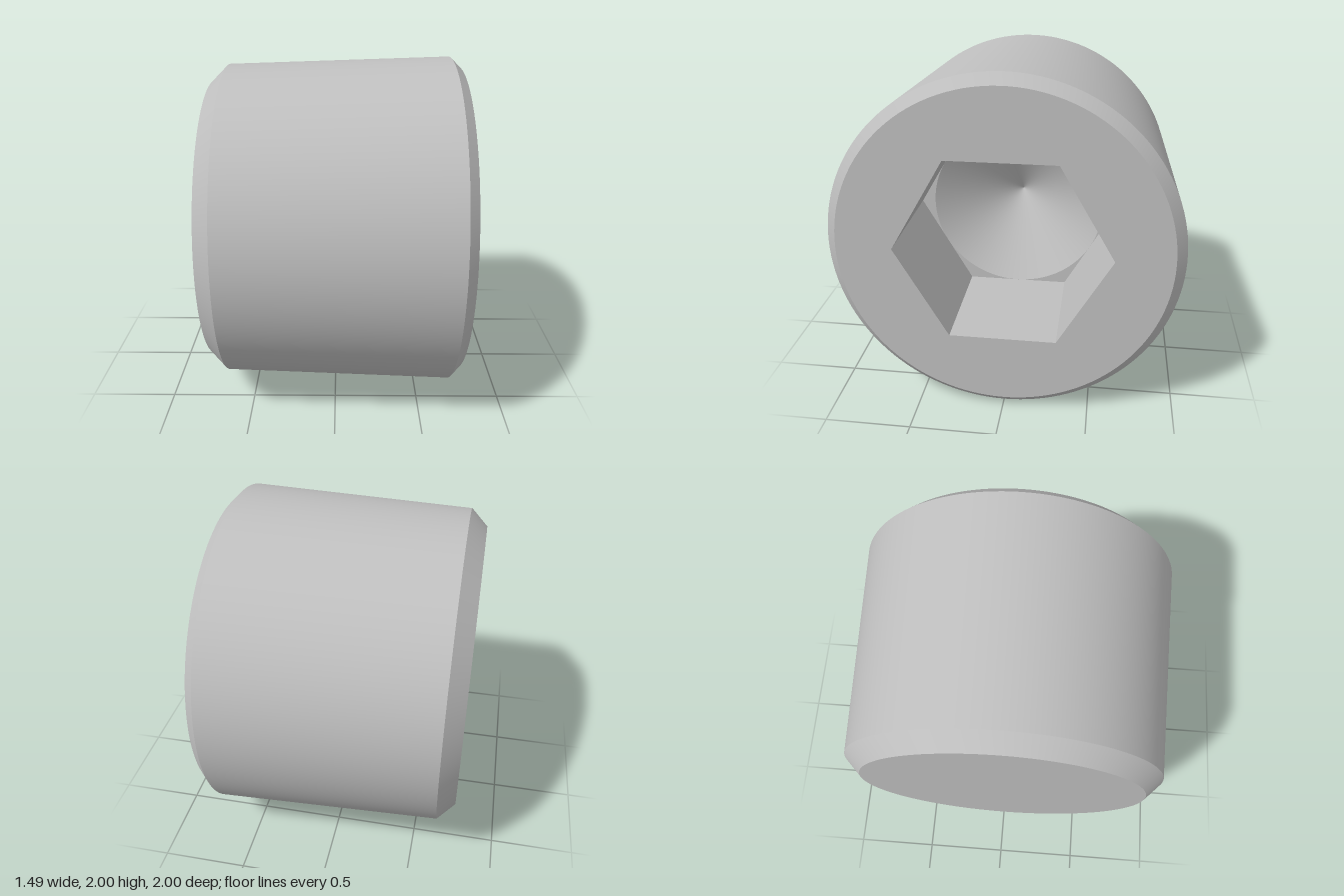
import * as THREE from 'three';
import { toCreasedNormals } from 'three/addons/utils/BufferGeometryUtils.js';

const SEGMENTS = 128;
const BACK = -0.745, FRONT = 0.74, FLOOR = 0.03; // stations along the axis
const HEX_RADIUS = 0.617, DRILL_RADIUS = 0.534;

// Surface of revolution around y; rising profiles face out, falling ones face in
function revolve(profile, segments = SEGMENTS) {
  const points = profile.map(([r, y]) => new THREE.Vector2(r, y));
  return toCreasedNormals(new THREE.LatheGeometry(points, segments), 0.4);
}

// Regular outline, first corner on the shape's y axis
function outline(radius, sides) {
  return Array.from({ length: sides }, (_, i) => {
    const a = (i / sides) * Math.PI * 2;
    return new THREE.Vector2(radius * Math.sin(a), radius * Math.cos(a));
  });
}

// Flat plate facing +y with an opening
function plate(outer, hole, y) {
  const shape = new THREE.Shape(outer);
  shape.holes.push(new THREE.Path(hole));
  return new THREE.ShapeGeometry(shape).rotateX(-Math.PI / 2).translate(0, y, 0);
}

export function createModel() {
  const steel = new THREE.MeshStandardMaterial({ color: 0xbfbfbf });
  steel.name = 'steel grey';

  const model = new THREE.Group();
  model.name = 'socketPlug';

  // Parts are made along y, then laid along x and raised onto the ground
  function add(name, geometry) {
    const mesh = new THREE.Mesh(geometry.rotateZ(-Math.PI / 2).translate(0, 1, 0), steel);
    mesh.name = name;
    model.add(mesh);
  }

  const hexagon = outline(HEX_RADIUS, 6);

  // Tapered body with a chamfer at each end and a closed back
  add('taperedBody', revolve([[0.855, BACK], [0.955, -0.645], [1, 0.68], [0.94, FRONT]]));
  add('backFace', new THREE.CircleGeometry(0.855, SEGMENTS).rotateX(Math.PI / 2).translate(0, BACK, 0));
  add('socketFace', plate(outline(0.94, SEGMENTS), hexagon, FRONT));

  // Hexagonal socket with a conical drill point at the bottom
  add('socketWalls', revolve([[HEX_RADIUS, FRONT], [HEX_RADIUS, FLOOR]], 6));
  add('socketFloor', plate(hexagon, outline(DRILL_RADIUS, SEGMENTS), FLOOR));
  add('drillPoint', new THREE.LatheGeometry(
    [new THREE.Vector2(DRILL_RADIUS, FLOOR), new THREE.Vector2(0, FLOOR - 0.31)], SEGMENTS));

  return model;
}
